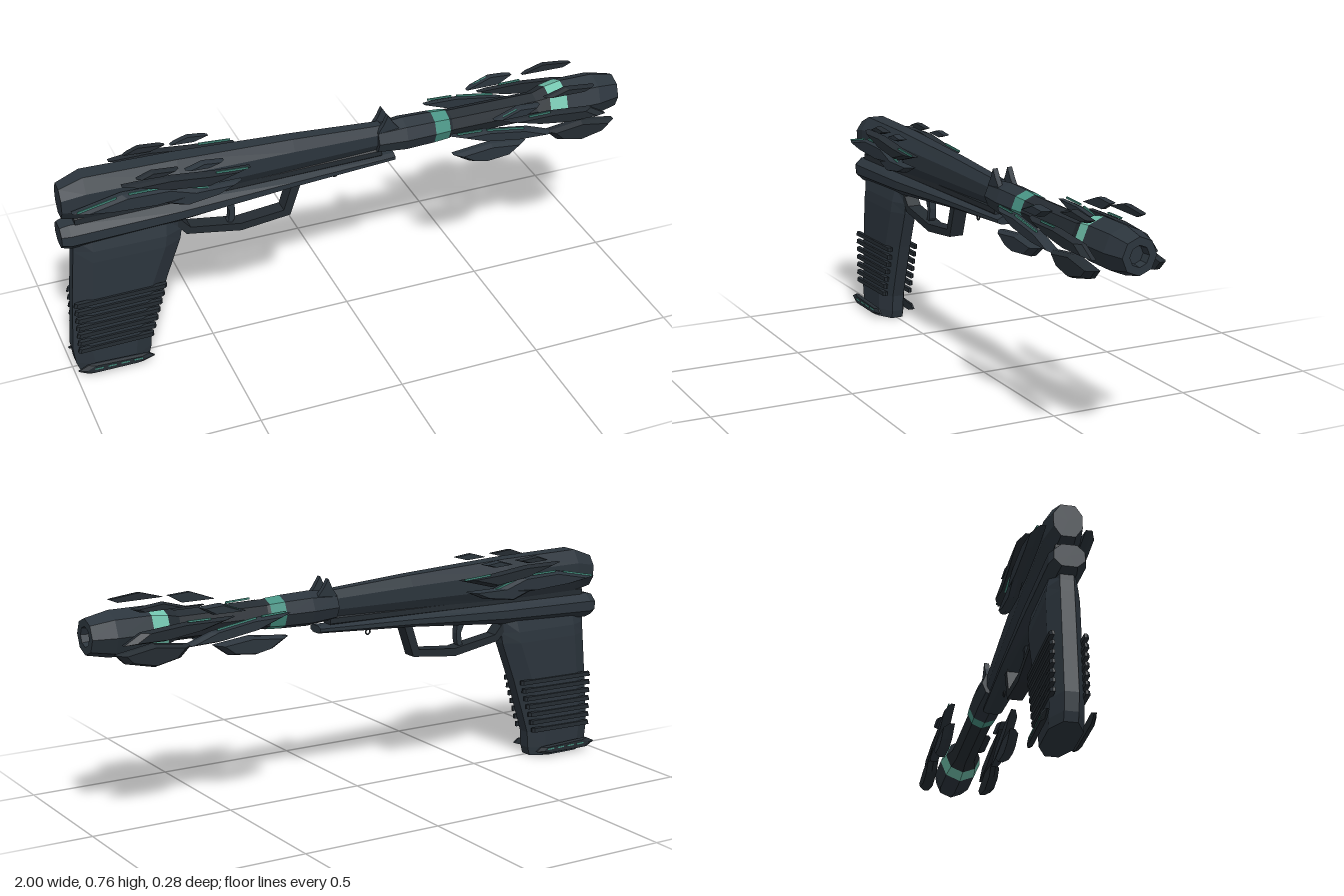
import * as THREE from 'three';

const mat = (name, color) => {
  const m = new THREE.MeshStandardMaterial({ color });
  m.name = name;
  return m;
};

// Facet a geometry so every face is flat
function facet(geo) {
  const g = geo.index ? geo.toNonIndexed() : geo;
  g.computeVertexNormals();
  return g;
}

// Skin a list of equal-length loops of [x, y, z], closing both ends
function loft(loops) {
  const tris = [];
  const n = loops[0].length;
  for (let i = 0; i < loops.length - 1; i++) {
    for (let j = 0; j < n; j++) {
      const k = (j + 1) % n;
      const [a, b, c, d] = [loops[i][j], loops[i][k], loops[i + 1][k], loops[i + 1][j]];
      tris.push([a, b, c], [a, c, d]);
    }
  }
  const cap = (loop, flip) => {
    const mid = [0, 1, 2].map(q => loop.reduce((s, p) => s + p[q], 0) / n);
    loop.forEach((p, j) => {
      const r = loop[(j + 1) % n];
      tris.push(flip ? [mid, r, p] : [mid, p, r]);
    });
  };
  cap(loops[0], true);
  cap(loops[loops.length - 1], false);
  // A negative volume means the faces point inwards
  let volume = 0;
  for (const [a, b, c] of tris) {
    volume += a[0] * (b[1] * c[2] - b[2] * c[1])
      + a[1] * (b[2] * c[0] - b[0] * c[2]) + a[2] * (b[0] * c[1] - b[1] * c[0]);
  }
  if (volume < 0) tris.forEach(t => t.reverse());
  const geo = new THREE.BufferGeometry();
  geo.setAttribute('position', new THREE.Float32BufferAttribute(tris.flat(2), 3));
  return facet(geo);
}

// Chamfered rectangle, as [u, v] points
const octagon = (u0, u1, w, cu, cv) => [
  [u0 + cu, -w], [u1 - cu, -w], [u1, -w + cv], [u1, w - cv],
  [u1 - cu, w], [u0 + cu, w], [u0, w - cv], [u0, -w + cv],
];

// Body lofted along x from rows of [x, bottom, top, half width]
const bodyAlongX = rows => loft(rows.map(([x, y0, y1, w]) =>
  octagon(y0, y1, w, (y1 - y0) * 0.3, w * 0.5).map(([y, z]) => [x, y, z])));

// Eight-sided turned part along the barrel, from rows of [x, radius]
function turned(rows) {
  const g = new THREE.LatheGeometry(rows.map(([x, r]) => new THREE.Vector2(r, x)), 8);
  g.rotateZ(-Math.PI / 2);
  g.translate(0, 0.658, 0);
  return facet(g);
}

// Side plate with a bevelled outer face
function blade(points, z0, z1, shrink = 0.78) {
  const n = points.length;
  const cx = points.reduce((s, p) => s + p[0], 0) / n;
  const cy = points.reduce((s, p) => s + p[1], 0) / n;
  const ring = (k, z) => points.map(([x, y]) => [cx + (x - cx) * k, cy + (y - cy) * k, z]);
  return loft([ring(1, z0), ring(1, z0 + (z1 - z0) * 0.5), ring(shrink, z1)]);
}

function plate(points, depth, hole) {
  const vec = list => list.map(p => new THREE.Vector2(...p));
  const shape = new THREE.Shape(vec(points));
  if (hole) shape.holes.push(new THREE.Path(vec(hole)));
  const g = new THREE.ExtrudeGeometry(shape, { depth, bevelEnabled: false });
  g.translate(0, 0, -depth / 2);
  return g;
}

export function createModel() {
  const group = new THREE.Group();
  const slate = mat('slate', 0x2c353d);
  const dark = mat('darkSlate', 0x252c32);
  const teal = mat('teal', 0x489384);
  const paleTeal = mat('paleTeal', 0x72c4ae);
  const add = (name, geo, material) => {
    const mesh = new THREE.Mesh(geo, material);
    mesh.name = name;
    group.add(mesh);
  };

  // Slide, frame and the rail between them
  add('slide', bodyAlongX([
    [-0.99, 0.615, 0.725, 0.045], [-0.91, 0.6, 0.755, 0.058], [-0.6, 0.6, 0.75, 0.055],
    [-0.2, 0.61, 0.732, 0.042], [0.12, 0.62, 0.712, 0.032],
  ]), slate);
  add('frame', bodyAlongX([
    [-1, 0.505, 0.58, 0.048], [-0.97, 0.498, 0.588, 0.058], [-0.6, 0.515, 0.59, 0.057],
    [-0.2, 0.55, 0.593, 0.046], [0.165, 0.57, 0.596, 0.034],
  ]), slate);
  add('rail', bodyAlongX([[-0.95, 0.57, 0.62, 0.032], [0.12, 0.585, 0.63, 0.022]]), dark);

  // Barrel, glowing bands and hollow muzzle
  add('barrelCollar', turned([[0.1, 0], [0.1, 0.05], [0.2, 0.06], [0.305, 0.057]]), slate);
  add('barrelBand', turned([[0.305, 0.057], [0.36, 0.053]]), teal);
  add('barrel', turned([[0.36, 0.053], [0.37, 0.05], [0.69, 0.05], [0.735, 0.066]]), dark);
  add('muzzleBand', turned([[0.735, 0.066], [0.795, 0.077]]), paleTeal);
  add('muzzle', turned([[0.795, 0.077], [0.92, 0.077], [1, 0.06], [1, 0.034], [0.97, 0.03], [0.97, 0]]), slate);

  // Grip, lofted upwards from rows of [y, back, front, half width]
  add('grip', loft([
    [0, -0.98, -0.735, 0.053], [0.03, -0.99, -0.727, 0.053], [0.09, -0.997, -0.722, 0.053],
    [0.3, -0.98, -0.655, 0.053], [0.44, -0.967, -0.602, 0.053], [0.48, -0.963, -0.595, 0.05],
    [0.53, -0.96, -0.59, 0.038],
  ].map(([y, x0, x1, w]) => octagon(x0, x1, w, 0.06, w - 0.022).map(([x, z]) => [x, y, z]))), slate);

  // Trigger guard, trigger and lanyard ring
  add('triggerGuard', plate(
    [[-0.64, 0.53], [-0.58, 0.455], [-0.39, 0.422], [-0.215, 0.442], [-0.175, 0.56]], 0.052,
    [[-0.605, 0.525], [-0.565, 0.478], [-0.39, 0.45], [-0.238, 0.465], [-0.21, 0.55]]), dark);
  add('trigger', plate([[-0.445, 0.545], [-0.425, 0.5], [-0.428, 0.465], [-0.44, 0.445],
    [-0.425, 0.442], [-0.408, 0.465], [-0.405, 0.5], [-0.41, 0.545]], 0.025), slate);
  const ring = new THREE.TorusGeometry(0.009, 0.003, 5, 10);
  ring.translate(-0.043, 0.548, 0);
  add('lanyardRing', ring, dark);

  // Floating blades: [outline, inner z, outer z]
  const frontBlades = [
    [[[0.34, 0.605], [0.4, 0.57], [0.46, 0.558], [0.56, 0.568], [0.61, 0.605], [0.48, 0.62]], 0.103, 0.14],
    [[[0.69, 0.62], [0.73, 0.582], [0.82, 0.563], [0.92, 0.585], [0.95, 0.615], [0.82, 0.637]], 0.103, 0.14],
    [[[0.33, 0.68], [0.45, 0.677], [0.62, 0.65], [0.73, 0.61], [0.6, 0.615], [0.44, 0.64]], 0.105, 0.137],
    [[[0.53, 0.69], [0.7, 0.69], [0.86, 0.675], [0.92, 0.64], [0.78, 0.64], [0.64, 0.66]], 0.1, 0.13],
    [[[0.49, 0.705], [0.58, 0.738], [0.66, 0.733], [0.61, 0.705]], 0.102, 0.132],
    [[[0.69, 0.737], [0.77, 0.76], [0.88, 0.748], [0.85, 0.735]], 0.08, 0.105],
  ];
  const rearBlades = [
    [[[-0.965, 0.66], [-0.8, 0.695], [-0.62, 0.69], [-0.5, 0.65], [-0.68, 0.635], [-0.86, 0.645]], 0.062, 0.1],
    [[[-0.8, 0.73], [-0.66, 0.73], [-0.5, 0.712], [-0.37, 0.705], [-0.5, 0.67], [-0.66, 0.69]], 0.072, 0.108],
    [[[-0.68, 0.64], [-0.56, 0.66], [-0.4, 0.66], [-0.47, 0.63], [-0.6, 0.612]], 0.07, 0.1],
    [[[-0.75, 0.742], [-0.7, 0.76], [-0.61, 0.752], [-0.66, 0.738]], 0.07, 0.095],
    [[[-0.59, 0.742], [-0.53, 0.76], [-0.46, 0.752], [-0.51, 0.738]], 0.075, 0.1],
  ];
  // Slim glowing slivers along blade edges: [x0, y0, x1, y1, z]
  const slivers = [
    [-0.95, 0.665, -0.82, 0.692, 0.083], [-0.78, 0.698, -0.64, 0.695, 0.085],
    [-0.62, 0.69, -0.5, 0.652, 0.083], [-0.6, 0.688, -0.52, 0.676, 0.094],
    [-0.49, 0.715, -0.38, 0.708, 0.092], [0.35, 0.686, 0.44, 0.682, 0.122],
    [0.46, 0.679, 0.6, 0.657, 0.122], [0.52, 0.713, 0.57, 0.731, 0.118], [0.62, 0.694, 0.7, 0.694, 0.117],
  ];

  for (const [side, s] of [['left', 1], ['right', -1]]) {
    // The model's left and right flanks share the same outlines
    frontBlades.forEach(([p, a, b], i) => add(`${side}FrontBlade${i + 1}`, blade(p, a * s, b * s), i % 2 ? dark : slate));
    rearBlades.forEach(([p, a, b], i) => add(`${side}RearBlade${i + 1}`, blade(p, a * s, b * s), i % 2 ? dark : slate));
    slivers.forEach(([x0, y0, x1, y1, z], i) => add(`${side}Sliver${i + 1}`, blade(
      [[x0, y0 - 0.003], [x1, y1 - 0.003], [x1, y1 + 0.003], [x0, y0 + 0.003]], z * s, (z + 0.005) * s, 1), teal));

    // Grip ribs
    for (let i = 0; i < 7; i++) {
      const y = 0.1 + i * 0.031;
      const front = -0.725 + (y - 0.09) * 0.3;
      add(`${side}GripRib${i + 1}`, blade(
        [[-0.985, y - 0.008], [front, y - 0.004], [front, y + 0.012], [-0.98, y + 0.008]], 0.045 * s, 0.06 * s, 0.95), dark);
    }

    // Base plate with short glowing dashes
    add(`${side}BasePlate`, blade([[-0.995, 0.03], [-0.96, 0.047], [-0.75, 0.04], [-0.73, 0.025],
      [-0.77, 0.012], [-0.96, 0.012]], 0.066 * s, 0.08 * s), dark);
    for (let i = 0; i < 4; i++) {
      const x = -0.94 + i * 0.045;
      add(`${side}BaseDash${i + 1}`, blade(
        [[x, 0.029], [x + 0.03, 0.028], [x + 0.03, 0.033], [x, 0.034]], 0.076 * s, 0.0815 * s, 1), teal);
    }

    // Front sight fin
    const fin = plate([[0.1, 0.695], [0.18, 0.695], [0.155, 0.725], [0.135, 0.757], [0.12, 0.725]], 0.018);
    fin.translate(0, 0, 0.027 * s);
    add(`${side}SightFin`, fin, slate);
  }
  return group;
}
